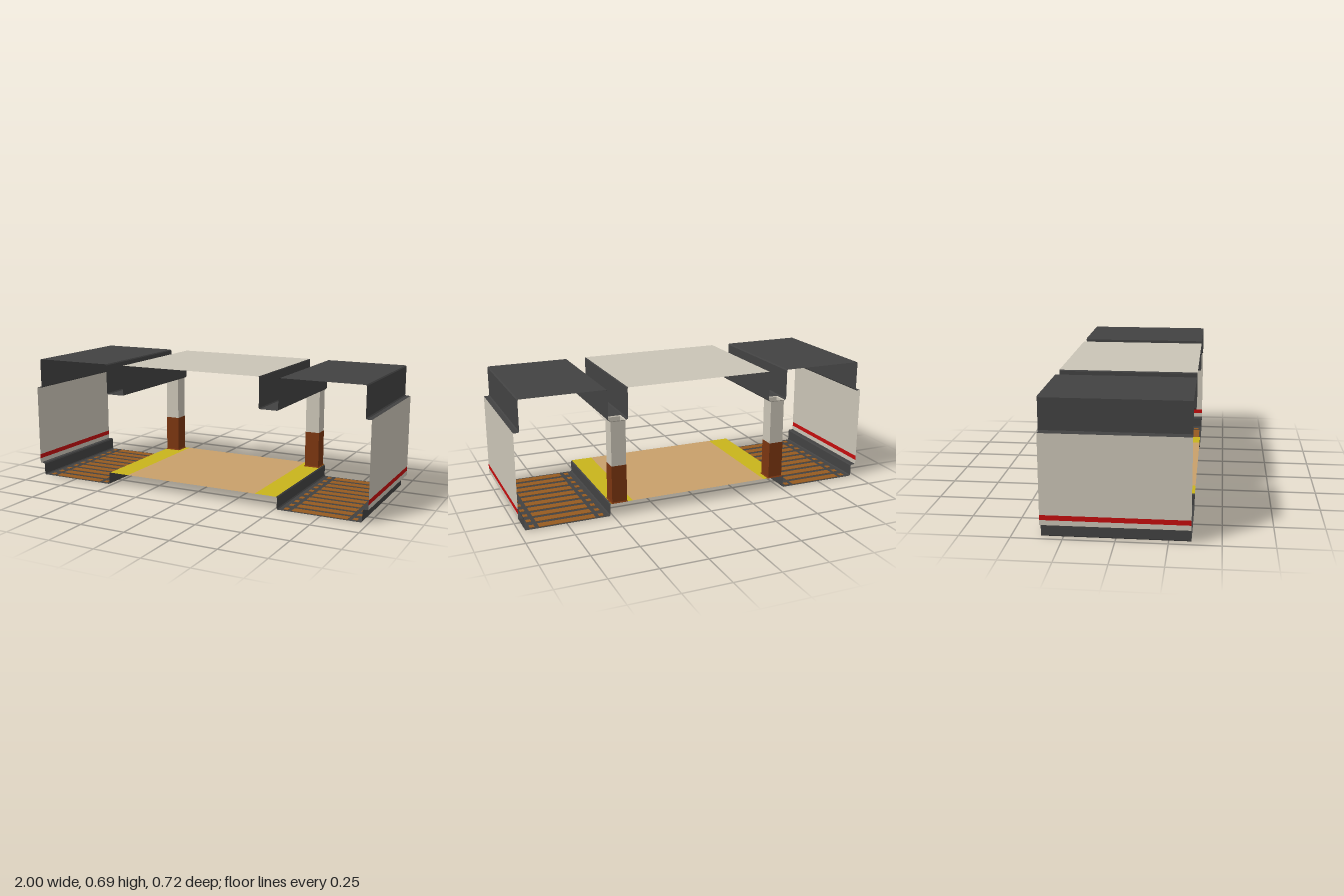
import * as THREE from 'three';

const D = 0.357; // half depth of the station segment
const mat = (name, color) => {
  const m = new THREE.MeshStandardMaterial({ color, side: THREE.DoubleSide });
  m.name = name;
  return m;
};

// Sheet swept along z from an x/y profile, with flat facets
function sheet(profile, z0 = -D, z1 = D) {
  const v = [];
  for (let i = 0; i < profile.length - 1; i++) {
    const [ax, ay] = profile[i], [bx, by] = profile[i + 1];
    v.push(ax, ay, z0, bx, by, z0, bx, by, z1, ax, ay, z0, bx, by, z1, ax, ay, z1);
  }
  const g = new THREE.BufferGeometry();
  g.setAttribute('position', new THREE.Float32BufferAttribute(v, 3));
  g.computeVertexNormals();
  return g;
}

// Horizontal sheet with a square notch where the column passes through
function notchedSheet(x0, x1, y) {
  const s = new THREE.Shape();
  [[x0, D], [x0, -D], [0.42, -D], [0.42, -0.275], [0.505, -0.275], [0.505, -D], [x1, -D], [x1, D]]
    .forEach(([x, z], i) => (i ? s.lineTo(x, -z) : s.moveTo(x, -z)));
  return new THREE.ShapeGeometry(s).rotateX(-Math.PI / 2).translate(0, y, 0);
}

// Square open tube, with bottom and top half widths
function squareTube(bottom, top, y0, y1) {
  const k = Math.SQRT2;
  return new THREE.CylinderGeometry(top * k, bottom * k, y1 - y0, 4, 1, true)
    .rotateY(Math.PI / 4).toNonIndexed().translate(0.4625, (y0 + y1) / 2, -0.315);
}

export function createModel() {
  const root = new THREE.Group();
  const dark = mat('dark grey concrete', 0x424242);
  const cream = mat('cream panel', 0xcac4b6);
  const red = mat('red stripe', 0xc40d0d);
  const tan = mat('tan floor', 0xc8a06a);
  const yellow = mat('yellow safety strip', 0xc8b41c);
  const ballast = mat('brown ballast', 0x965a20);
  const brown = mat('brown column base', 0x7a3510);

  const add = (parent, name, geometry, material) => {
    geometry.computeVertexNormals();
    const m = new THREE.Mesh(geometry, material);
    m.name = name;
    parent.add(m);
    return m;
  };

  // Middle of the platform and its ceiling
  add(root, 'platformFloor', sheet([[-0.39, 0.07], [0.39, 0.07]]), tan);
  add(root, 'platformCeiling', sheet([[-0.405, 0.687], [0.405, 0.687]]), cream);

  for (const s of [1, -1]) {
    const side = new THREE.Group();
    side.name = s > 0 ? 'leftSide' : 'rightSide';
    root.add(side);
    const part = (name, geometry, material) => add(side, name, geometry.scale(s, 1, 1), material);

    // Platform edge and riser
    part('safetyStrip', notchedSheet(0.39, 0.51, 0.07), yellow);
    part('platformRiser', sheet([[0.51, 0.07], [0.515, 0.064], [0.515, 0.008], [0.52, 0.002]]), dark);

    // Track bed with ballast showing between rails and sleepers
    part('trackBed', sheet([[0.52, 0.002], [0.965, 0.002]]), dark);
    for (let i = 0; i < 10; i++) {
      const z = (i - 4.5) * 0.0714;
      part('ballastBar', new THREE.BoxGeometry(0.3, 0.004, 0.045).translate(0.742, 0.002, z), ballast);
      for (const e of [-1, 1])
        part('ballastPatch', new THREE.BoxGeometry(0.025, 0.004, 0.03).translate(0.742 + e * 0.185, 0.002, z), ballast);
    }
    part('trackCurb', sheet([[0.965, 0.002], [0.97, 0.007], [0.97, 0.063], [0.975, 0.07], [1, 0.07]]), dark);

    // Outer wall with painted stripe
    part('lowerWall', sheet([[1, 0.07], [1, 0.095]]), cream);
    part('wallStripe', sheet([[1, 0.095], [1, 0.12]]), red);
    part('upperWall', sheet([[1, 0.12], [1, 0.52]]), cream);

    // Ceiling over the track
    part('trackCeiling', sheet([
      [1, 0.52], [0.975, 0.52], [0.97, 0.526], [0.97, 0.681], [0.965, 0.687],
      [0.52, 0.687], [0.515, 0.681], [0.515, 0.526], [0.51, 0.52],
    ]), dark);

    // Lowered beam between the two ceilings
    part('beamUnderside', notchedSheet(0.412, 0.51, 0.52), dark);
    part('beamSide', sheet([[0.412, 0.52], [0.408, 0.526], [0.408, 0.681], [0.405, 0.687]]), dark);

    // Hollow square column with slight flares at both ends
    part('columnFoot', squareTube(0.046, 0.041, 0.07, 0.076), brown);
    part('columnBase', squareTube(0.041, 0.041, 0.076, 0.275), brown);
    part('columnShaft', squareTube(0.04, 0.04, 0.275, 0.514), cream);
    part('columnHead', squareTube(0.04, 0.045, 0.514, 0.52), cream);
  }
  return root;
}
